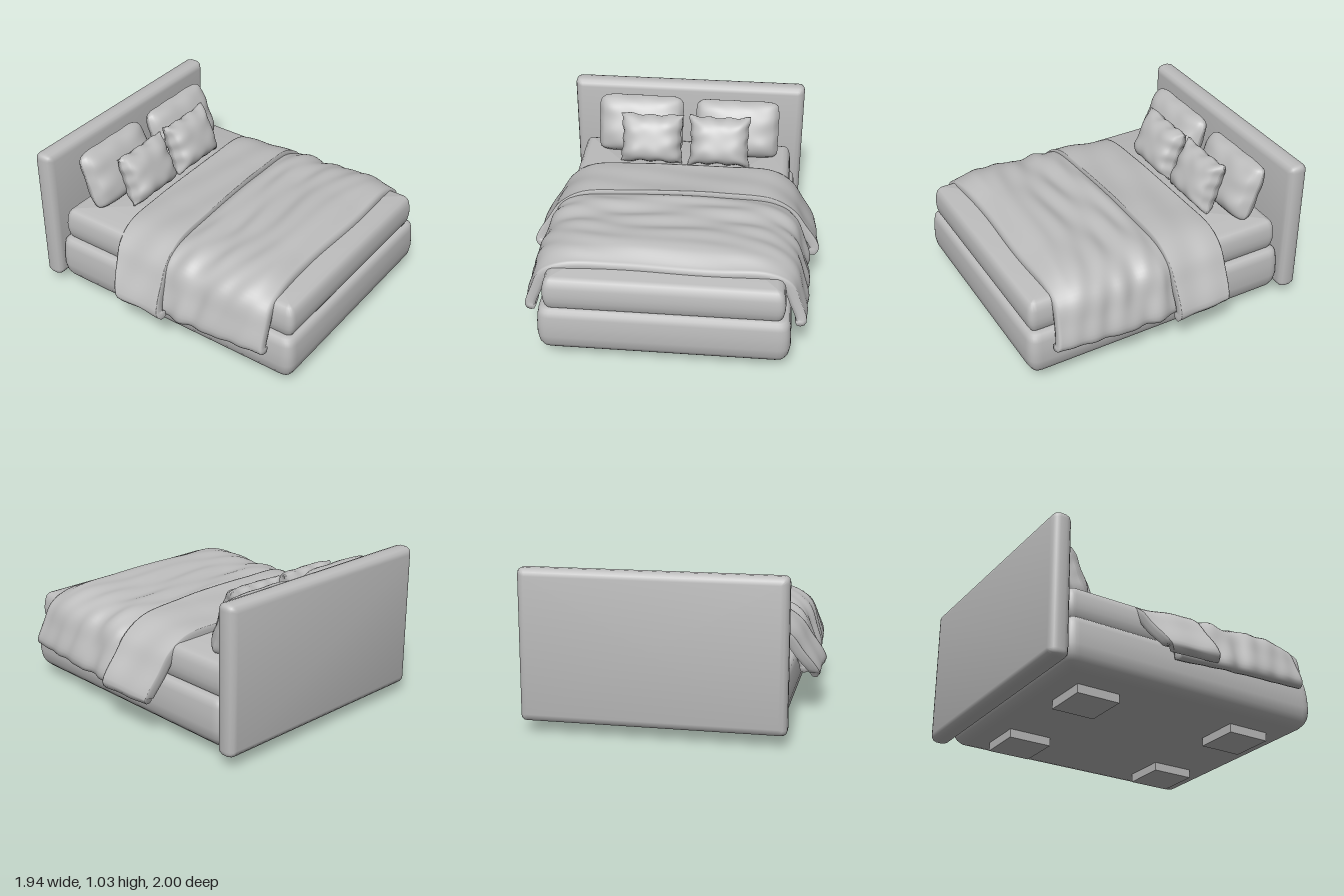
import * as THREE from 'three';
import { mergeVertices, toCreasedNormals } from 'three/addons/utils/BufferGeometryUtils.js';

const fabric = new THREE.MeshStandardMaterial({ color: 0xbcbcbc });
fabric.name = 'greyFabric';

const { lerp, smoothstep } = THREE.MathUtils;

const add = (group, name, geometry, x = 0, y = 0, z = 0) => {
  const mesh = new THREE.Mesh(geometry, fabric);
  mesh.name = name;
  mesh.position.set(x, y, z);
  group.add(mesh);
  return mesh;
};

// Upholstered block: a lathed profile of [inset, y], its circle squared off and spread to a rounded rectangle
function slab(halfW, halfD, corner, profile) {
  const n = 32;
  const pts = profile.map(([inset, y]) => new THREE.Vector2(inset === null ? 0 : corner - inset, y));
  const geo = new THREE.LatheGeometry(pts, n, Math.PI / n);
  const p = geo.attributes.position;
  for (let i = 0; i < p.count; i++) {
    const x = p.getX(i), z = p.getZ(i), r = Math.hypot(x, z);
    if (r < 1e-6) continue;
    const spread = (c, half) => Math.sign(c) * (half - corner + r * Math.abs(c / r) ** 0.65);
    p.setX(i, spread(x, halfW));
    p.setZ(i, spread(z, halfD));
  }
  return toCreasedNormals(geo, 0.7);
}

// Subdivided 2 x 2 x 2 block whose vertices are moved by a rule, with smooth normals
function warp(nx, ny, nz, rule) {
  let geo = new THREE.BoxGeometry(2, 2, 2, nx, ny, nz);
  geo.deleteAttribute('uv');
  geo.deleteAttribute('normal');
  geo = mergeVertices(geo);
  const p = geo.attributes.position, v = new THREE.Vector3();
  for (let i = 0; i < p.count; i++) {
    v.fromBufferAttribute(p, i);
    rule(v);
    p.setXYZ(i, v.x, v.y, v.z);
  }
  geo.computeVertexNormals();
  return geo;
}

// Stuffed pillow, fullest low down: pinch draws the sides in, round trims the corners
function pillow(w, h, depth, pinch, round, seed) {
  return warp(28, 28, 6, v => {
    const { x, y, z } = v;
    const puff = (1 - x ** 4) ** 0.6 * (1 - y ** 4) ** 0.7 * (1 - 0.2 * y);
    const crease = 0.009 * puff * (Math.sin(9 * x + 3 * y + seed) * y * y + Math.sin(8 * y - 2 * x + seed * 2) * x * x);
    const trim = 1 - round * (x * y) ** 6;
    v.x = w / 2 * x * trim * (1 - pinch * (1 - y * y) * Math.abs(x)) + pinch * 0.06 * Math.sin(11 * y + seed) * x ** 3;
    v.y = h / 2 * y * trim * (1 - pinch * (1 - x * x) * Math.abs(y)) + pinch * 0.08 * Math.sin(10 * x + seed) * y ** 3;
    v.z = z * (0.008 + depth / 2 * puff + crease);
  });
}

// Thick cloth draped over a half section of [x, y], from centre to hem
function cloth(half, thickness, headEdge, footEdge, lift) {
  const left = half.slice(1).reverse().map(([x, y]) => new THREE.Vector3(-x, y, 0));
  const right = half.map(([x, y]) => new THREE.Vector3(x, y, 0));
  const curve = new THREE.CatmullRomCurve3([...left, ...right]);
  return warp(80, 3, 56, v => {
    const round = 1 - 0.012 * v.y * v.y;
    const u = v.x * round, k = (v.z * round + 1) / 2;
    const z = lerp(headEdge(u), footEdge(u), k);
    const c = curve.getPointAt((u + 1) / 2);
    const t = curve.getTangentAt((u + 1) / 2);
    const inner = (1 - v.y) / 2;
    const out = lift(u, z, k) - inner * thickness * (1 - 0.2 * u * u);
    // The hem climbs slightly towards the foot
    v.set(c.x - t.y * out, c.y + t.x * out + 0.045 * z * u ** 6, z);
  });
}

export function createModel() {
  const bed = new THREE.Group();
  bed.name = 'bed';

  // Upholstered base, fuller towards the bottom
  add(bed, 'base', slab(0.795, 0.93, 0.105, [
    [null, 0.055], [0.1, 0.058], [0.06, 0.068], [0.03, 0.095], [0.01, 0.13], [0, 0.19],
    [0.002, 0.27], [0.008, 0.33], [0.015, 0.365], [0.03, 0.38], [0.06, 0.387], [null, 0.387],
  ]), 0, 0, 0.07);

  // Mattress with a soft bulge between its seams
  add(bed, 'mattress', slab(0.752, 0.905, 0.07, [
    [null, 0.385], [0.05, 0.385], [0.02, 0.392], [0.01, 0.41], [0.002, 0.45], [0, 0.49],
    [0.006, 0.54], [0.014, 0.57], [0.03, 0.592], [0.06, 0.603], [null, 0.605],
  ]), 0, 0, 0.07);

  // Padded headboard, swelling slightly towards the middle
  const board = slab(0.825, 0.48, 0.055, [
    [null, -0.08], [0.05, -0.068], [0.025, -0.06], [0.008, -0.045], [0, -0.02],
    [0, 0.02], [0.008, 0.045], [0.025, 0.06], [0.05, 0.068], [null, 0.085],
  ]);
  add(bed, 'headboard', board.rotateX(Math.PI / 2), 0.003, 0.55, -0.918);

  // Four square feet
  for (const x of [-0.415, 0.43]) {
    for (const z of [-0.507, 0.637]) {
      add(bed, 'foot', new THREE.BoxGeometry(0.3, 0.07, 0.295), x, 0.035, z);
    }
  }

  // Rounded pillows leaning on the headboard, pointed cushions in front
  const pillows = [
    ['backPillow', -0.325, 0.785, -0.705, 0.61, 0.41, 0.19, 0.02, 0.1, 1],
    ['backPillow', 0.36, 0.775, -0.705, 0.6, 0.41, 0.19, 0.02, 0.1, 3.5],
    ['frontCushion', -0.23, 0.765, -0.535, 0.44, 0.35, 0.19, 0.07, 0, 2],
    ['frontCushion', 0.245, 0.765, -0.535, 0.43, 0.35, 0.19, 0.07, 0, 5],
  ];
  for (const [name, x, y, z, ...shape] of pillows) {
    add(bed, name, pillow(...shape), x, y, z).rotation.x = -0.36;
  }

  // Duvet over the lower part, folds gathering near the turned-back band
  add(bed, 'duvet', cloth(
    [[0, 0.68], [0.3, 0.675], [0.64, 0.655], [0.79, 0.575], [0.855, 0.43], [0.9, 0.29], [0.885, 0.235]],
    0.08,
    () => -0.12,
    u => 0.82 + 0.04 * u ** 4 + 0.008 * Math.sin(7 * u),
    (u, z, k) => {
      const gather = Math.exp(-(((z - 0.22) / 0.3) ** 2));
      const folds = 0.009 * gather * Math.sin(26 * z + 4 * u + 1.5 * Math.sin(3 * u))
        + 0.004 * Math.sin(41 * z - 9 * u + 2 * Math.sin(5 * u))
        + 0.003 * u * u * Math.sin(13 * z + 10 * Math.abs(u));
      const swell = 0.032 * Math.exp(-(((z - 0.6) / 0.18) ** 2)) * (1 - u * u);
      const droop = 0.05 * smoothstep(k, 0.86, 1) * (1 - u * u) ** 2 + 0.02 * u ** 6 * smoothstep(k, 0.6, 1);
      const open = smoothstep(z, -0.02, 0.1);
      return folds * open * (1 - k ** 8) + swell - droop - 0.03 * (1 - open);
    }
  ));

  // Turned-back band of the duvet, its hem tucking in at both sides
  add(bed, 'duvetFold', cloth(
    [[0, 0.695], [0.3, 0.692], [0.64, 0.668], [0.79, 0.577], [0.87, 0.46], [0.945, 0.345], [0.963, 0.285], [0.925, 0.235]],
    0.075,
    u => -0.385 - 0.02 * u + (u < 0 ? 0.16 : 0.07) * Math.abs(u) ** 4,
    u => 0.035 - 0.035 * u + (u < 0 ? 0.06 : 0.045) * u ** 4,
    (u, z, k) => -0.045 * (1 - k) * (1 - 0.7 * u * u)
      + 0.004 * Math.sin(9 * z + 8 * u) + 0.003 * Math.sin(24 * z - 6 * u)
  ));

  return bed;
}
